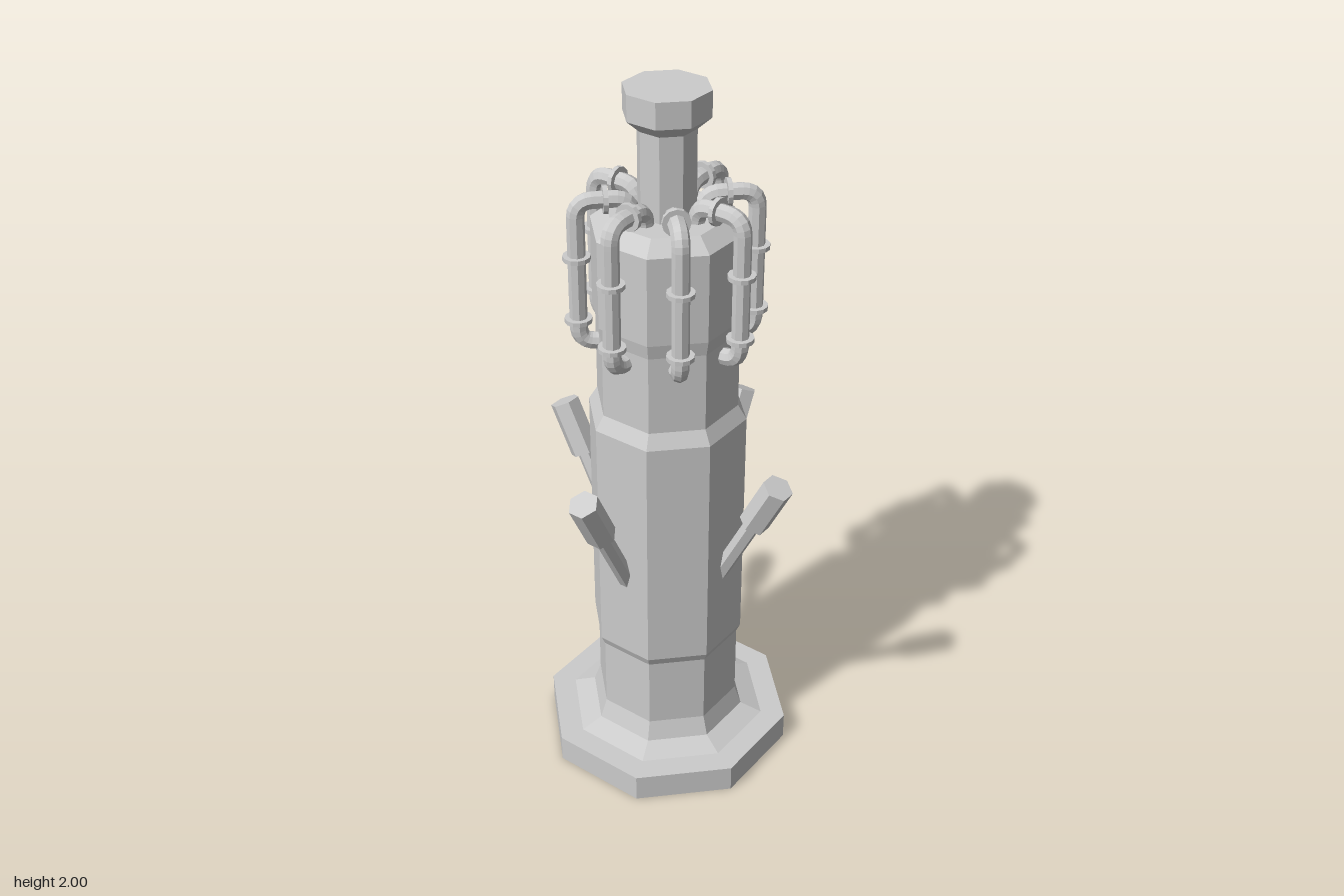
import * as THREE from 'three';

const material = new THREE.MeshStandardMaterial({ color: 0xcccccc, flatShading: true });

function addMesh(parent, name, geometry) {
  const mesh = new THREE.Mesh(geometry, material);
  mesh.name = name;
  parent.add(mesh);
  return mesh;
}

// Eight-sided turned part; each point is [distance to the flat side, height]
function octagonal(points) {
  const k = 1 / Math.cos(Math.PI / 8);
  return new THREE.LatheGeometry(points.map(([a, y]) => new THREE.Vector2(a * k, y)), 8, Math.PI / 8);
}

// Path through the points with rounded corners
function roundedPath(points, radius) {
  const p = points.map(([x, y]) => new THREE.Vector3(x, y, 0));
  const path = new THREE.CurvePath();
  let from = p[0];
  for (let i = 1; i < p.length - 1; i++) {
    const a = p[i].clone().add(p[i - 1].clone().sub(p[i]).setLength(radius));
    const b = p[i].clone().add(p[i + 1].clone().sub(p[i]).setLength(radius));
    path.add(new THREE.LineCurve3(from, a));
    path.add(new THREE.QuadraticBezierCurve3(a, p[i], b));
    from = b;
  }
  path.add(new THREE.LineCurve3(from, p[p.length - 1]));
  return path;
}

export function createModel() {
  const model = new THREE.Group();
  model.name = 'tower';

  // Main column, from the ground up
  addMesh(model, 'base', octagonal([[0, 0], [0.33, 0], [0.33, 0.08], [0, 0.08]]));
  addMesh(model, 'column', octagonal([
    [0.265, 0.08], [0.208, 0.103], [0.19, 0.16], [0.19, 0.375], [0.2, 0.4],
    [0.2, 1.1], [0.178, 1.14], [0.178, 1.36], [0.185, 1.4], [0.185, 1.64],
    [0.145, 1.675], [0, 1.675],
  ]));
  addMesh(model, 'chimney', octagonal([
    [0.07, 1.66], [0.07, 1.9], [0.103, 1.932], [0.103, 2], [0, 2],
  ]));

  // Eight pipes looping from the top of the head down into its side
  const pipePath = roundedPath([
    [0.09, 1.66], [0.09, 1.718], [0.228, 1.718], [0.228, 1.325], [0.16, 1.325],
  ], 0.045);
  const pipeGeometry = new THREE.TubeGeometry(pipePath, 48, 0.023, 8);
  const ringGeometry = new THREE.CylinderGeometry(0.036, 0.036, 0.012, 12);
  for (let i = 0; i < 8; i++) {
    const pipe = new THREE.Group();
    pipe.name = 'pipe';
    pipe.rotation.y = i * Math.PI / 4;
    addMesh(pipe, 'pipeTube', pipeGeometry);
    for (const y of [1.565, 1.39]) {
      addMesh(pipe, 'pipeRing', ringGeometry).position.set(0.228, y, 0);
    }
    const topRing = addMesh(pipe, 'pipeRing', ringGeometry);
    topRing.position.set(0.154, 1.718, 0);
    topRing.rotation.z = Math.PI / 2;
    model.add(pipe);
  }

  // Four slanted arms with hexagonal heads
  const rodGeometry = new THREE.CylinderGeometry(0.024, 0.024, 0.28, 6).translate(0, -0.13, 0);
  const headGeometry = new THREE.CylinderGeometry(0.042, 0.042, 0.157, 6).translate(0, 0.0785, 0);
  for (let i = 0; i < 4; i++) {
    const side = new THREE.Group();
    side.name = 'arm';
    side.rotation.y = i * Math.PI / 2;
    const tilted = new THREE.Group();
    tilted.name = 'tiltedArm';
    tilted.position.set(0.289, 0.85, 0);
    tilted.rotation.z = -Math.atan2(0.07, 0.14);
    addMesh(tilted, 'armRod', rodGeometry);
    addMesh(tilted, 'armHead', headGeometry);
    side.add(tilted);
    model.add(side);
  }

  return model;
}
